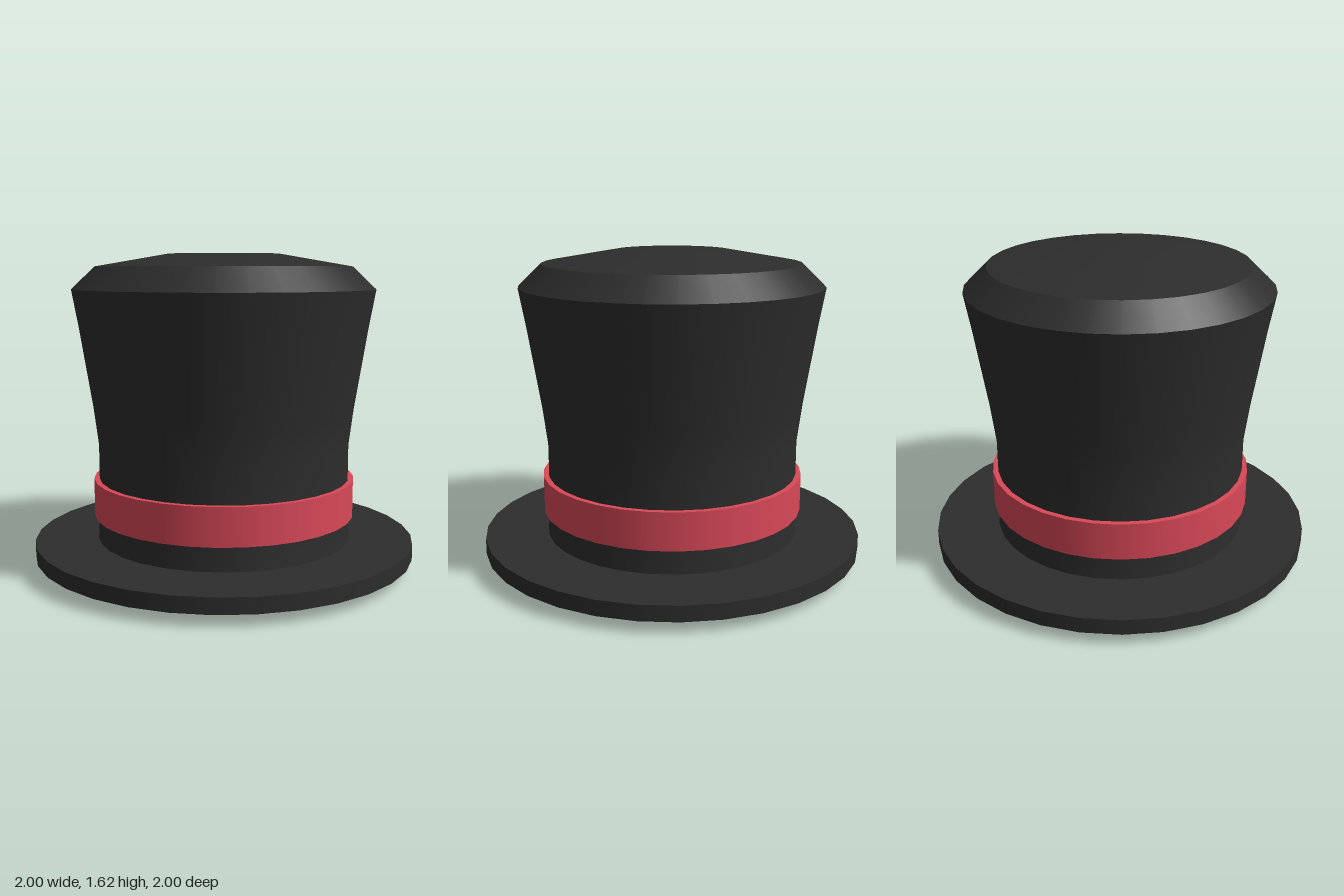
import * as THREE from 'three';
import { mergeGeometries } from 'three/addons/utils/BufferGeometryUtils.js';

const SIDES = 32;

// Revolves each [radius, height] profile; smooth within a profile, sharp between them
function revolve(name, color, profiles) {
  const parts = profiles.map((profile) =>
    new THREE.LatheGeometry(profile.map(([r, y]) => new THREE.Vector2(r, y)), SIDES));
  const mesh = new THREE.Mesh(mergeGeometries(parts), new THREE.MeshStandardMaterial({ color }));
  mesh.name = name;
  return mesh;
}

export function createModel() {
  const group = new THREE.Group();
  group.name = 'topHat';
  const felt = 0x2d2d2d;

  // Flared crown with a bevelled shoulder and a shallow domed top
  group.add(revolve('crown', felt, [
    [[0.67, 0.14], [0.66, 0.3], [0.66, 0.64], [0.685, 0.84], [0.72, 1.06], [0.75, 1.25], [0.785, 1.445]],
    [[0.785, 1.445], [0.665, 1.56]],
    [[0.665, 1.56], [0.29, 1.625], [0, 1.625]],
  ]));

  // Brim: sloping underside, upright rim, flat top
  group.add(revolve('brim', felt, [
    [[0.58, 0], [1, 0.06]],
    [[1, 0.06], [1, 0.14]],
    [[1, 0.14], [0.66, 0.14]],
  ]));

  // Shallow head opening underneath
  group.add(revolve('headOpening', felt, [
    [[0, 0.44], [0.58, 0.44]],
    [[0.58, 0.44], [0.58, 0]],
  ]));

  // Ribbon band around the base of the crown
  group.add(revolve('band', 0xd94858, [
    [[0.65, 0.265], [0.688, 0.265]],
    [[0.688, 0.265], [0.688, 0.46]],
    [[0.688, 0.46], [0.65, 0.46]],
  ]));

  return group;
}
